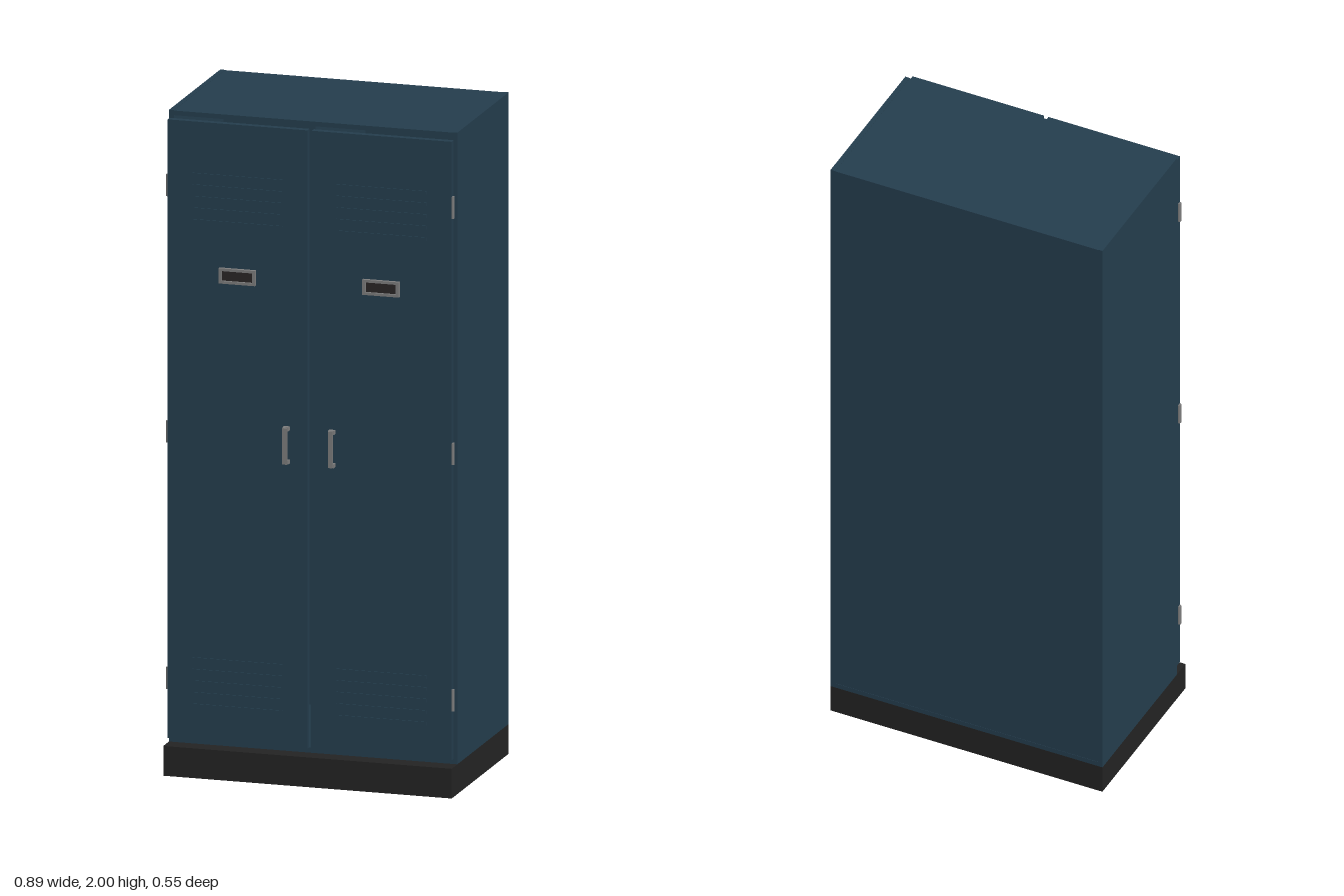
import * as THREE from 'three';

const material = (name, color) => {
  const m = new THREE.MeshStandardMaterial({ color });
  m.name = name;
  return m;
};

export function createModel() {
  const blue = material('blue paint', 0x243d4d);
  const black = material('black plinth', 0x232323);
  const steel = material('steel', 0x7c7c7c);
  const card = material('dark card', 0x2a2526);

  const model = new THREE.Group();
  model.name = 'locker';

  // Box given by its limits on each axis
  const box = (parent, name, mat, [x0, x1], [y0, y1], [z0, z1]) => {
    const mesh = new THREE.Mesh(new THREE.BoxGeometry(x1 - x0, y1 - y0, z1 - z0), mat);
    mesh.position.set((x0 + x1) / 2, (y0 + y1) / 2, (z0 + z1) / 2);
    mesh.name = name;
    parent.add(mesh);
    return mesh;
  };

  // Plinth
  box(model, 'plinth', black, [-0.443, 0.443], [0, 0.09], [-0.277, 0.275]);

  // Cabinet built from sheet panels
  const cabinet = new THREE.Group();
  cabinet.name = 'cabinet';
  model.add(cabinet);
  const depth = [-0.277, 0.22];
  box(cabinet, 'leftSide', blue, [0.428, 0.443], [0.09, 2], depth);
  box(cabinet, 'rightSide', blue, [-0.443, -0.428], [0.09, 2], depth);
  box(cabinet, 'roof', blue, [-0.428, 0.428], [1.985, 1.999], depth);
  box(cabinet, 'floor', blue, [-0.428, 0.428], [0.09, 0.105], depth);
  box(cabinet, 'backPanel', blue, [-0.428, 0.428], [0.105, 1.985], [-0.276, -0.262]);
  box(cabinet, 'divider', blue, [-0.0075, 0.0075], [0.105, 1.985], [-0.262, 0.22]);

  for (const side of [-1, 1]) {
    const door = new THREE.Group();
    door.name = side > 0 ? 'leftDoor' : 'rightDoor';
    model.add(door);
    // Limits measured outward from the centre line
    const out = (a, b) => (side > 0 ? [a, b] : [-b, -a]);

    box(door, 'doorPanel', blue, out(0.007, 0.436), [0.11, 1.98], [0.234, 0.254]);

    // Vent louvres, upper and lower
    for (const centre of [1.75, 0.285]) {
      for (let i = -2; i <= 2; i++) {
        const y = centre + i * 0.035;
        box(door, 'louvre', blue, out(0.083, 0.359), [y - 0.005, y + 0.005], [0.25, 0.257]);
      }
    }

    // Name card holder: open frame with a card inside
    const frame = new THREE.Shape();
    frame.moveTo(-0.056, -0.023).lineTo(0.056, -0.023).lineTo(0.056, 0.023).lineTo(-0.056, 0.023).closePath();
    const hole = new THREE.Path();
    hole.moveTo(-0.047, -0.015).lineTo(-0.047, 0.015).lineTo(0.047, 0.015).lineTo(0.047, -0.015).closePath();
    frame.holes.push(hole);
    const holder = new THREE.Mesh(new THREE.ExtrudeGeometry(frame, { depth: 0.011, bevelEnabled: false }), steel);
    holder.position.set(side * 0.221, 1.522, 0.254);
    holder.name = 'cardFrame';
    door.add(holder);
    box(door, 'card', card, out(0.174, 0.268), [1.507, 1.537], [0.254, 0.258]);

    // Pull handle
    box(door, 'handleGrip', steel, out(0.063, 0.077), [0.97, 1.08], [0.269, 0.277]);
    for (const y of [0.975, 1.075]) {
      box(door, 'handlePost', steel, out(0.061, 0.079), [y - 0.006, y + 0.006], [0.254, 0.27]);
    }

    // Hinge barrels
    for (const y of [0.29, 1.035, 1.78]) {
      const hinge = new THREE.Mesh(new THREE.CylinderGeometry(0.006, 0.006, 0.066, 12), steel);
      hinge.position.set(side * 0.437, y, 0.247);
      hinge.name = 'hinge';
      door.add(hinge);
    }
  }
  return model;
}
